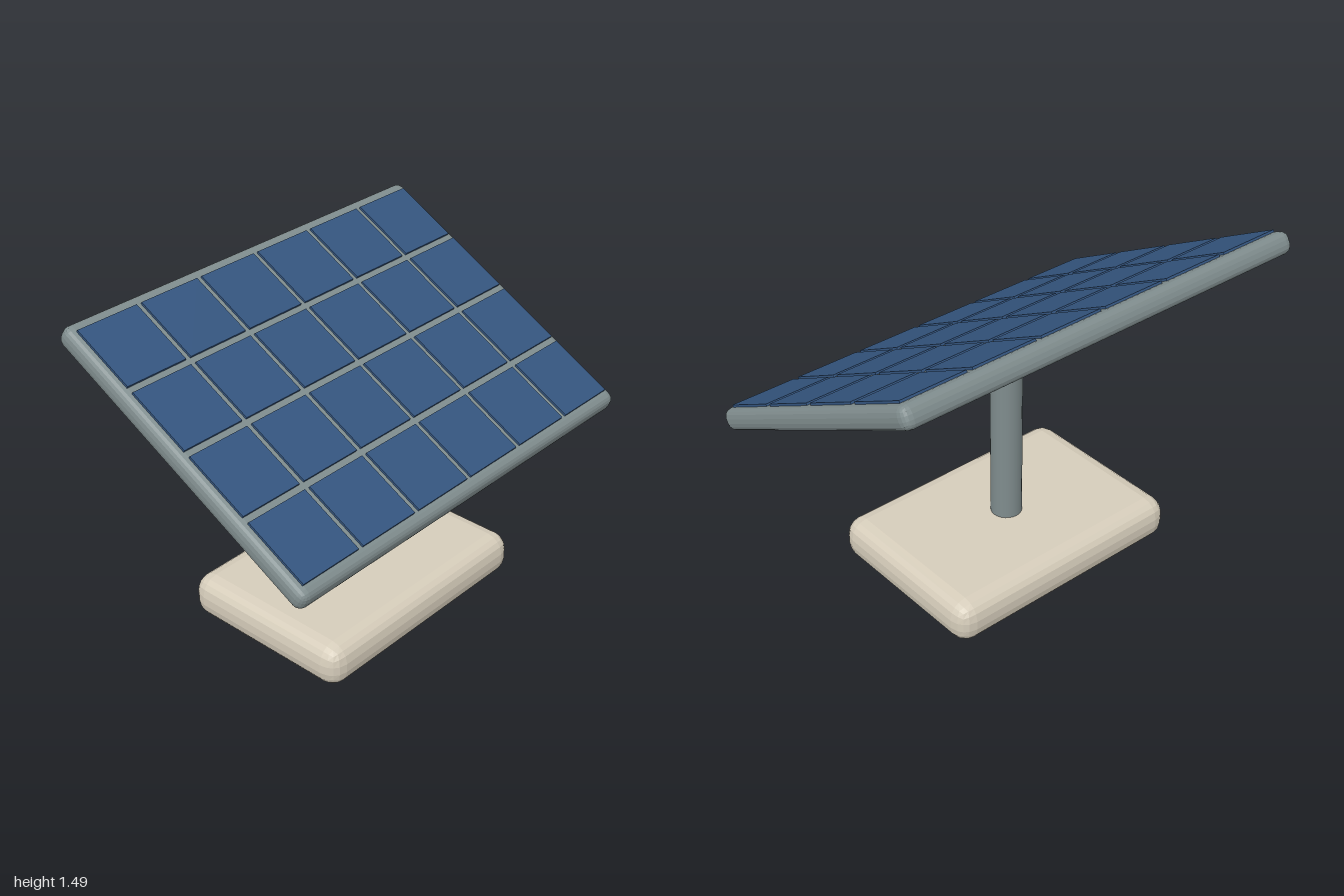
import * as THREE from 'three';
import { RoundedBoxGeometry } from 'three/addons/geometries/RoundedBoxGeometry.js';

const metal = new THREE.MeshStandardMaterial({ color: 0x7f8c8d });
const metalFlat = new THREE.MeshStandardMaterial({ color: 0x7f8c8d, flatShading: true });
const stone = new THREE.MeshStandardMaterial({ color: 0xd5ccba, flatShading: true });
const glass = new THREE.MeshStandardMaterial({ color: 0x34557f });

function addPart(parent, name, geometry, material, x, y, z) {
  const mesh = new THREE.Mesh(geometry, material);
  mesh.name = name;
  mesh.position.set(x, y, z);
  parent.add(mesh);
  return mesh;
}

export function createModel() {
  const model = new THREE.Group();
  model.name = 'solarPanel';

  // Rounded slab and upright post
  addPart(model, 'base', new RoundedBoxGeometry(1.2, 0.2, 0.85, 2, 0.08), stone, 0, 0.1, 0);
  addPart(model, 'post', new THREE.CylinderGeometry(0.07, 0.07, 0.8, 24), metal, 0, 0.6, 0);

  // Tilted panel, low edge to the front
  const panel = new THREE.Group();
  panel.name = 'panel';
  panel.position.y = 1.123;
  panel.rotation.x = THREE.MathUtils.degToRad(28);
  model.add(panel);
  addPart(panel, 'frame', new RoundedBoxGeometry(2, 0.1, 1.44, 2, 0.04), metalFlat, 0, 0, 0);

  // Grid of cells standing slightly proud of the frame
  const columns = 6, rows = 4, pitchX = 0.325, pitchZ = 0.34;
  const cellGeometry = new THREE.BoxGeometry(0.3, 0.02, 0.31);
  for (let row = 0; row < rows; row++) {
    for (let column = 0; column < columns; column++) {
      const x = (column - (columns - 1) / 2) * pitchX;
      const z = (row - (rows - 1) / 2) * pitchZ;
      addPart(panel, 'cell', cellGeometry, glass, x, 0.05, z);
    }
  }
  return model;
}
